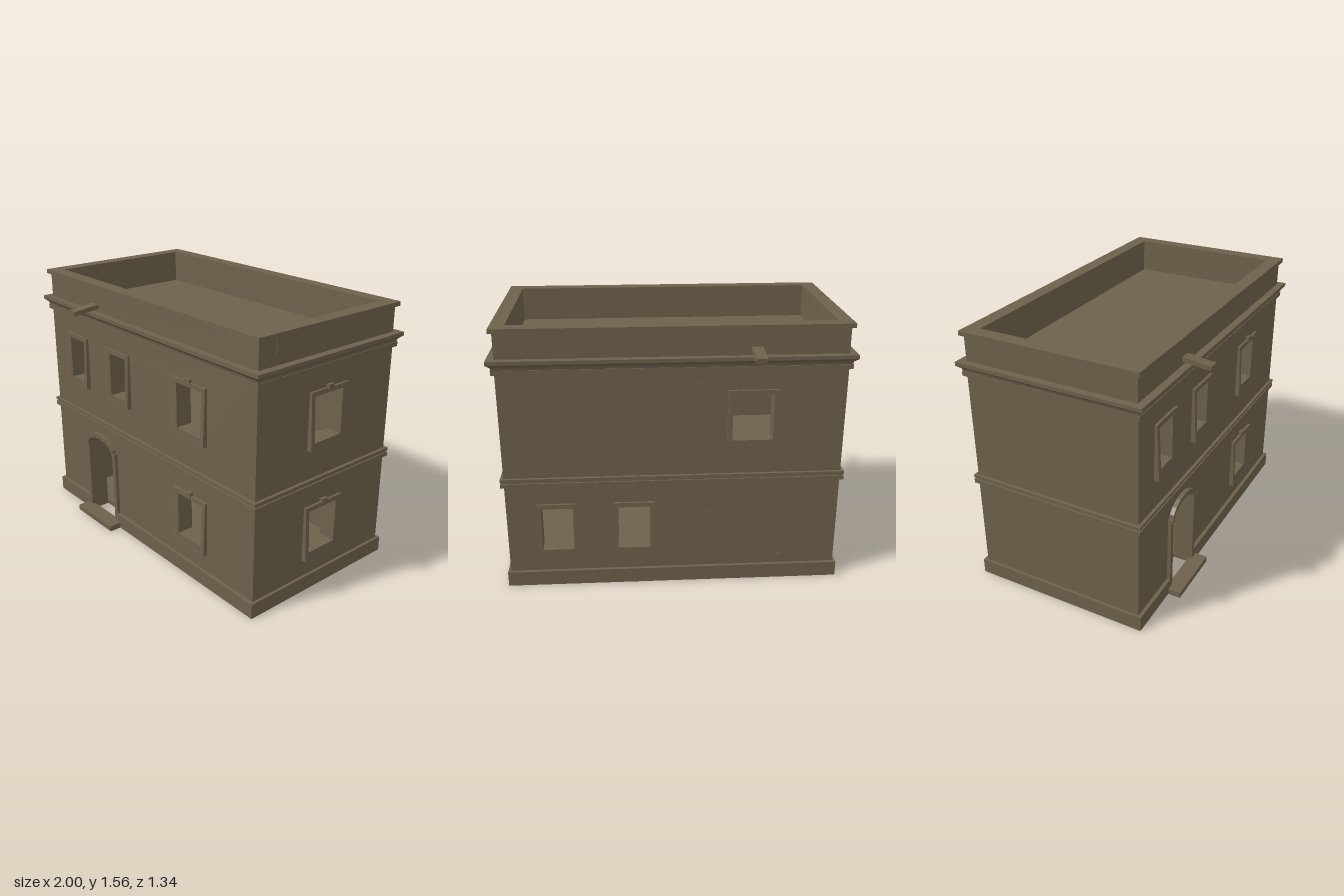
import * as THREE from 'three';

const stone = new THREE.MeshStandardMaterial({ color: 0x6d614b });
stone.name = 'brown stone';

const HX = 0.96, HZ = 0.51, WALL = 0.1, DECK = 1.36;
const DOOR = { x: -0.45, half: 0.135, spring: 0.49, rise: 0.07 };

// Openings as [centre, bottom, width, height, hasKeystone] of the outer frame
const wide = (c, y, key) => [c, y, 0.285, 0.328, key];
const narrow = (c, y) => [c, y, 0.237, 0.328, false];
const frontWindows = [narrow(-0.672, 0.866), narrow(-0.228, 0.866), wide(0.442, 0.866, true), wide(0.442, 0.197, true)];
const backWindows = [narrow(-0.672, 0.197), narrow(-0.228, 0.197), wide(0.442, 0.866, false)];
const rightWindows = [wide(0, 0.866, true), wide(0, 0.197, true)];

export function createModel() {
  const model = new THREE.Group();
  model.name = 'house';

  const add = (name, geometry, parent = model) => {
    const mesh = new THREE.Mesh(geometry, stone);
    mesh.name = name;
    parent.add(mesh);
    return mesh;
  };
  // Box from its two corners
  const box = (name, x0, x1, y0, y1, z0, z1, parent) => {
    const g = new THREE.BoxGeometry(x1 - x0, y1 - y0, z1 - z0);
    g.translate((x0 + x1) / 2, (y0 + y1) / 2, (z0 + z1) / 2);
    return add(name, g, parent);
  };
  const rectPath = (x0, x1, y0, y1) => new THREE.Path([
    [x0, y0], [x0, y1], [x1, y1], [x1, y0]].map(p => new THREE.Vector2(...p)));
  const extrude = (shape, depth) => new THREE.ExtrudeGeometry(shape, { depth, bevelEnabled: false, curveSegments: 10 });

  // Arch points from right springing to left springing
  const archPoints = (half, rise) => Array.from({ length: 9 }, (_, i) => {
    const a = Math.PI * i / 8;
    return new THREE.Vector2(DOOR.x + half * Math.cos(a), DOOR.spring + rise * Math.sin(a));
  });

  // Band around the house, lofted from a counterclockwise profile of [offset, height]
  function moulding(name, profile) {
    const pos = [];
    const corners = [[1, 1], [1, -1], [-1, -1], [-1, 1]];
    const at = (c, p) => [c[0] * (HX + p[0]), p[1], c[1] * (HZ + p[0])];
    for (let i = 0; i < 4; i++) for (let j = 0; j < profile.length; j++) {
      const c0 = corners[i], c1 = corners[(i + 1) % 4];
      const p0 = profile[j], p1 = profile[(j + 1) % profile.length];
      const a = at(c0, p0), b = at(c1, p0), c = at(c1, p1), d = at(c0, p1);
      pos.push(...a, ...b, ...c, ...a, ...c, ...d);
    }
    const g = new THREE.BufferGeometry();
    g.setAttribute('position', new THREE.Float32BufferAttribute(pos, 3));
    g.computeVertexNormals();
    return add(name, g);
  }
  const band = (name, inner, outer, y0, y1) =>
    moulding(name, [[inner, y0], [outer, y0], [outer, y1], [inner, y1]]);

  // One facade facing +z, with window holes, frames and an optional doorway
  function facade(name, half, dist, turn, windows, door) {
    const side = new THREE.Group();
    side.name = name;
    side.rotation.y = turn;
    const pts = [[half, 0], [half, DECK], [-half, DECK], [-half, 0]].map(p => new THREE.Vector2(...p));
    if (door) {
      pts.push(new THREE.Vector2(DOOR.x - DOOR.half, 0),
        ...archPoints(DOOR.half, DOOR.rise).reverse(),
        new THREE.Vector2(DOOR.x + DOOR.half, 0));
    }
    const wall = new THREE.Shape(pts);
    for (const [c, y, w, h, key] of windows) {
      const x0 = c - w / 2, x1 = c + w / 2, m = 0.026;
      const hole = () => rectPath(x0 + m, x1 - m, y + m, y + h - m);
      wall.holes.push(hole());
      // Frame standing further out at its foot
      const frame = new THREE.Shape(rectPath(x0, x1, y, y + h).getPoints());
      frame.holes.push(hole());
      const g = extrude(frame, 1);
      const p = g.attributes.position;
      for (let i = 0; i < p.count; i++) {
        const t = (p.getY(i) - y) / h;
        p.setZ(i, dist + (p.getZ(i) > 0.5 ? 0.029 - 0.014 * t : -0.005));
      }
      g.computeVertexNormals();
      add('windowFrame', g, side);
      if (key) box('keystone', c - 0.02, c + 0.02, y + h - 0.015, y + h + 0.018, dist - 0.005, dist + 0.02, side);
    }
    const g = extrude(wall, WALL);
    g.translate(0, 0, dist - WALL);
    add('wall', g, side);
    model.add(side);
    return side;
  }

  // Walls
  const front = facade('frontFacade', HX, HZ, 0, frontWindows, true);
  const back = facade('backFacade', HX, HZ, Math.PI, backWindows, false);
  facade('rightFacade', HZ - WALL, HX, Math.PI / 2, rightWindows, false);
  facade('leftFacade', HZ - WALL, HX, -Math.PI / 2, [], false);

  // Doorway: arch surround, jambs, capitals and step
  const outer = archPoints(0.155, 0.1), inner = archPoints(DOOR.half, DOOR.rise);
  const arch = extrude(new THREE.Shape([...outer, ...inner.reverse()]), 0.03);
  arch.translate(0, 0, HZ - 0.005);
  add('doorArch', arch, front);
  for (const s of [-1, 1]) {
    const a = DOOR.x + s * DOOR.half, b = DOOR.x + s * 0.165;
    box('doorJamb', Math.min(a, b), Math.max(a, b), 0, 0.485, HZ - 0.005, HZ + 0.021, front);
    box('doorCapital', Math.min(a, b), Math.max(a, b), 0.485, 0.505, HZ - 0.005, HZ + 0.027, front);
  }
  box('doorStep', -0.635, -0.26, 0, 0.035, HZ, 0.605);

  // Plinth, broken at the door
  const px = HX + 0.016, pz = HZ + 0.021, ph = 0.09;
  box('plinthFrontLeft', DOOR.x + 0.165, px, 0, ph, HZ, pz);
  box('plinthFrontRight', -px, DOOR.x - 0.165, 0, ph, HZ, pz);
  box('plinthBack', -px, px, 0, ph, -pz, -HZ);
  for (const s of [-1, 1]) box('plinthSide', s < 0 ? -px : HX, s < 0 ? -HX : px, 0, ph, -HZ, HZ);

  // String course and cornice
  band('stringCourseLower', -0.02, 0.018, 0.64, 0.664);
  band('stringCourseNeck', -0.02, 0.01, 0.664, 0.674);
  band('stringCourseUpper', -0.02, 0.018, 0.674, 0.692);
  band('corniceBand', -0.02, 0.018, 1.308, 1.334);
  moulding('cornice', [[-0.02, 1.334], [0.014, 1.334], [0.018, 1.35], [0.034, 1.364],
    [0.04, 1.37], [0.04, 1.39], [-0.02, 1.39]]);

  // Parapet, coping and side panel
  band('parapet', -0.065, -0.003, 1.355, 1.54);
  band('coping', -0.065, 0.016, 1.535, 1.56);
  box('parapetPanel', HX - 0.006, HX + 0.001, 1.435, 1.53, -0.39, 0.39);

  // Floors, roof deck and ceiling beams
  const ix = HX - WALL, iz = HZ - WALL;
  box('groundFloor', -ix, ix, 0, 0.03, -iz, iz);
  box('upperFloor', -ix, ix, 0.64, 0.68, -iz, iz);
  box('roofDeck', -ix - 0.05, ix + 0.05, 1.32, 1.362, -iz - 0.05, iz + 0.05);
  for (const y of [0.64, 1.32]) for (const z of [-0.28, -0.09, 0.09, 0.28])
    box('ceilingBeam', -ix, ix, y - 0.04, y, z - 0.025, z + 0.025);

  // Sloping rain spouts
  for (const s of [-1, 1]) {
    const spout = add('rainSpout', new THREE.BoxGeometry(0.062, 0.025, 0.18));
    spout.position.set(-0.45, 1.416, s * 0.58);
    spout.rotation.x = s * 0.12;
  }

  // Small weathered chips on the back wall
  for (const [x, y] of [[0.145, 1.23], [0.2, 0.43], [0.63, 0.14]]) {
    const chip = box('wallChip', -0.03, 0.03, -0.014, 0.014, 0, 0.004, back);
    chip.position.set(x, y, HZ);
    chip.rotation.z = 0.3;
  }
  return model;
}
